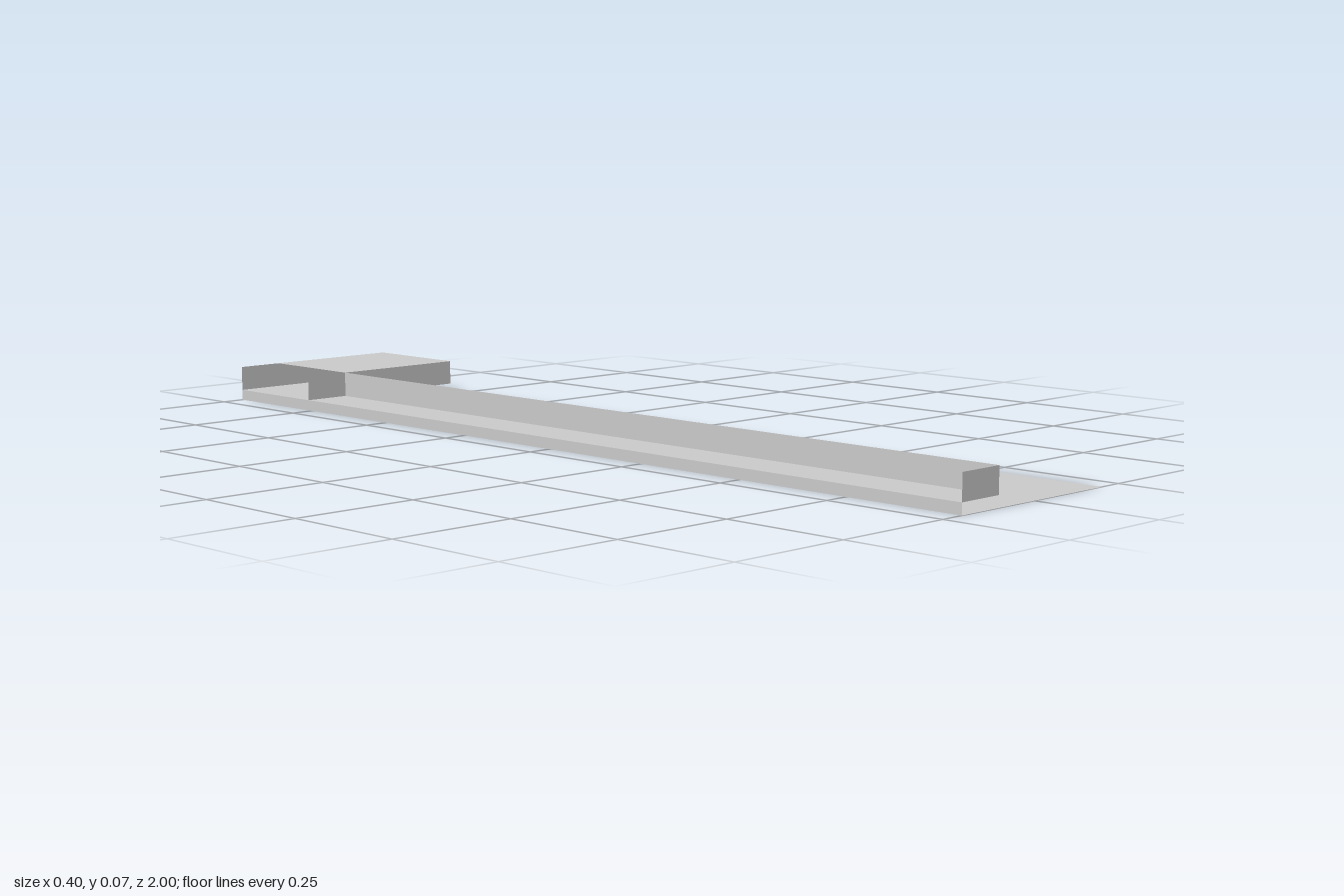
import * as THREE from 'three';

const X = 0.2, Z = 1;            // half width, half length
const INNER = -0.1, CROSS = -0.76; // inner wall x, cross wall z
const LOW = 0.022, TOP = 0.073;  // shelf height, wall top

const material = new THREE.MeshStandardMaterial({ color: 0xcccccc, side: THREE.DoubleSide, flatShading: true });

export function createModel() {
  const group = new THREE.Group();

  const add = (name, geometry) => {
    const mesh = new THREE.Mesh(geometry, material);
    mesh.name = name;
    group.add(mesh);
    return mesh;
  };

  // Horizontal sheet from an outline of [x, z] corners
  const sheet = (name, y, corners) => {
    const shape = new THREE.Shape(corners.map(([x, z]) => new THREE.Vector2(x, -z)));
    add(name, new THREE.ShapeGeometry(shape).rotateX(-Math.PI / 2)).position.y = y;
  };

  // Thin upright wall across the width, at one z
  const wallAcross = (name, x0, x1, z) =>
    add(name, new THREE.PlaneGeometry(x1 - x0, TOP - LOW))
      .position.set((x0 + x1) / 2, (LOW + TOP) / 2, z);

  // Thin upright wall along the length, at one x
  const wallAlong = (name, x, z0, z1, y0, y1) =>
    add(name, new THREE.PlaneGeometry(z1 - z0, y1 - y0).rotateY(x < 0 ? -Math.PI / 2 : Math.PI / 2))
      .position.set(x, (y0 + y1) / 2, (z0 + z1) / 2);

  // Ground sheet and the raised L-shaped shelf
  sheet('floor', 0, [[-X, Z], [X, Z], [X, -Z], [-X, -Z]]);
  sheet('shelf', LOW, [[-X, Z], [INNER, Z], [INNER, CROSS], [X, CROSS], [X, -Z], [-X, -Z]]);

  // Roof over the back room
  sheet('roof', TOP, [[INNER, CROSS], [X, CROSS], [X, -Z], [INNER, -Z]]);

  // Walls standing on the shelf
  wallAcross('frontWall', -X, INNER, Z);
  wallAcross('crossWall', -X, X, CROSS);
  wallAcross('backWall', -X, X, -Z);
  wallAlong('innerWall', INNER, CROSS, Z, LOW, TOP);
  wallAlong('roomSideWall', X, -Z, CROSS, LOW, TOP);

  // Low skirt joining the floor to the shelf
  wallAlong('skirt', -X, -Z, Z, 0, LOW);

  return group;
}
